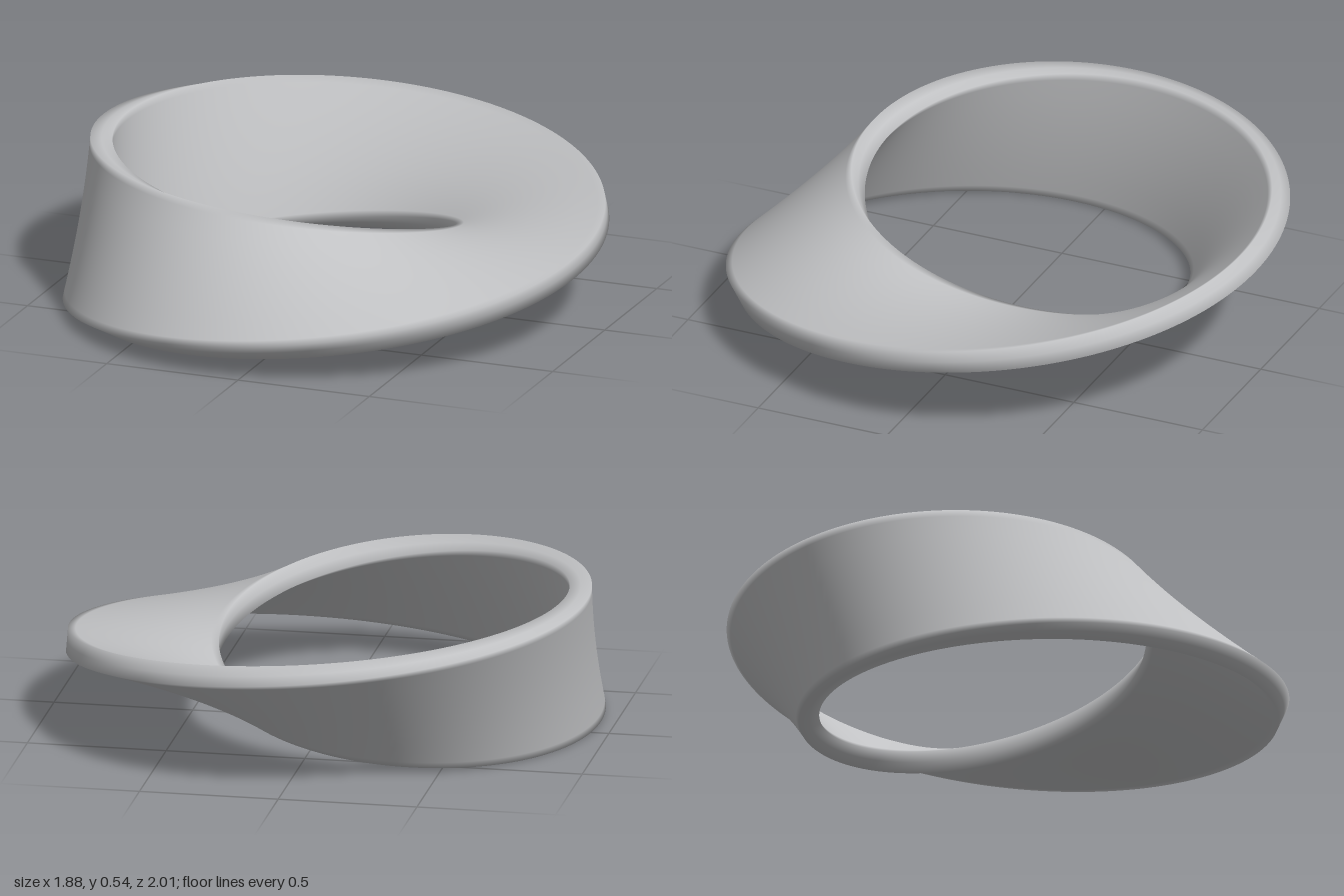
import * as THREE from 'three';

const RADIUS = 0.783, HALF_WIDTH = 0.268, HALF_THICK = 0.04;
const CENTRE_X = -0.116, CENTRE_Y = 0.268, RINGS = 240;

// Rectangular cross-section, counter-clockwise; the second half mirrors the first through the centre
function bandSection() {
  const w = HALF_WIDTH, t = HALF_THICK;
  const half = [[w, -t], [w, 0], [w, t]];
  for (const k of [0.9, 0.6, 0.3, 0, -0.3, -0.6, -0.9]) half.push([w * k, t]);
  half.push([-w, t]);
  half.pop(); // opposite corner belongs to the mirrored half
  return [...half, ...half.map(([u, v]) => [-u, -v])];
}

// Sweep the section once round the ring while it makes a half turn
function twistedBand() {
  const section = bandSection();
  // the mirrored half starts at (-w, t), so the outline stays closed
  const n = section.length;
  const positions = [], indices = [];
  for (let i = 0; i < RINGS; i++) {
    const phi = -Math.PI + (i / RINGS) * Math.PI * 2;
    const c = Math.cos(phi / 2), s = Math.sin(phi / 2);
    for (const [u, v] of section) {
      const r = RADIUS + u * c + v * s;
      positions.push(CENTRE_X + r * Math.cos(phi), CENTRE_Y - u * s + v * c, r * Math.sin(phi));
    }
  }
  // The last ring joins the first one turned by half the outline
  const at = (i, j) => (i < RINGS ? i * n + (j % n) : (j + n / 2) % n);
  for (let i = 0; i < RINGS; i++) {
    for (let j = 0; j < n; j++) {
      const a = at(i, j), b = at(i, j + 1), d = at(i + 1, j), e = at(i + 1, j + 1);
      indices.push(a, b, d, b, e, d);
    }
  }
  const geometry = new THREE.BufferGeometry();
  geometry.setAttribute('position', new THREE.Float32BufferAttribute(positions, 3));
  geometry.setIndex(indices);
  geometry.computeVertexNormals();
  return geometry;
}

export function createModel() {
  const group = new THREE.Group();
  group.name = 'mobiusStrip';
  const grey = new THREE.MeshStandardMaterial({ color: 0xc0c1c3 });
  grey.name = 'lightGrey';
  const band = new THREE.Mesh(twistedBand(), grey);
  band.name = 'twistedBand';
  group.add(band);
  return group;
}
